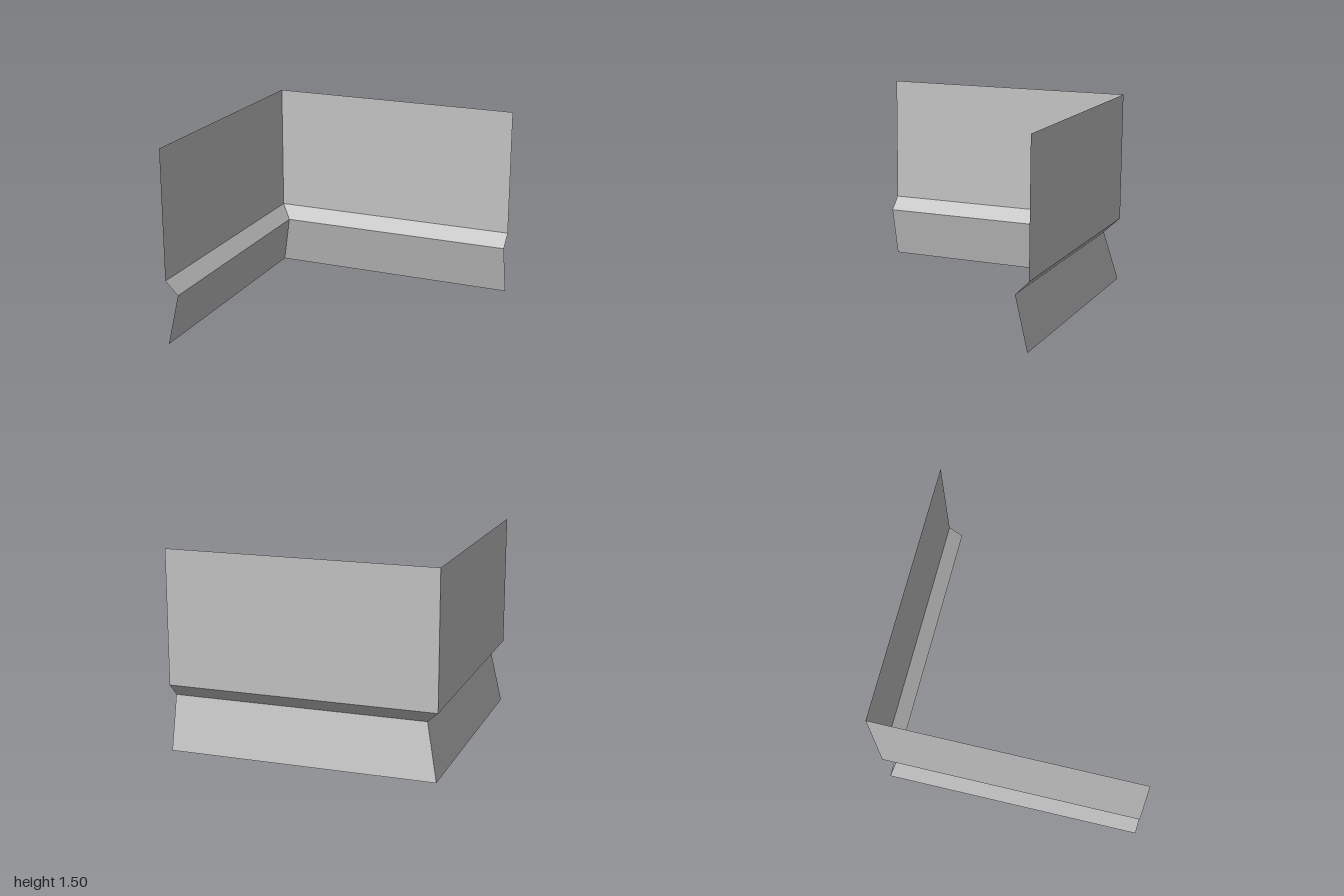
import * as THREE from 'three';

// Plan of the L-shaped sheet at a given inward offset: left end, corner, right end
const plan = (o) => [[-1 + o, 1], [-1 + o, -1 + o], [1, -1 + o]];

// Folded strip between two levels, each given as [inward offset, height]
function strip(name, lower, upper, material) {
  const group = new THREE.Group();
  group.name = name;
  const at = ([o, y], i) => [plan(o)[i][0], y, plan(o)[i][1]];
  ['Left', 'Back'].forEach((side, i) => {
    const a = at(lower, i), b = at(lower, i + 1);
    const c = at(upper, i + 1), d = at(upper, i);
    const geometry = new THREE.BufferGeometry();
    geometry.setAttribute('position',
      new THREE.Float32BufferAttribute([a, b, c, a, c, d].flat(), 3));
    geometry.computeVertexNormals();
    const mesh = new THREE.Mesh(geometry, material);
    mesh.name = name + side;
    group.add(mesh);
  });
  return group;
}

export function createModel() {
  const grey = new THREE.MeshStandardMaterial({ color: 0xcccccc, side: THREE.DoubleSide });
  grey.name = 'light grey';

  const model = new THREE.Group();
  model.name = 'cornerWall';

  // Leaning base, sloping ledge and upright wall, from the ground up
  const foot = [0.005, 0], crease = [0.1, 0.4], sill = [0, 0.5], top = [0, 1.5];
  model.add(
    strip('base', foot, crease, grey),
    strip('ledge', crease, sill, grey),
    strip('wall', sill, top, grey),
  );
  return model;
}
